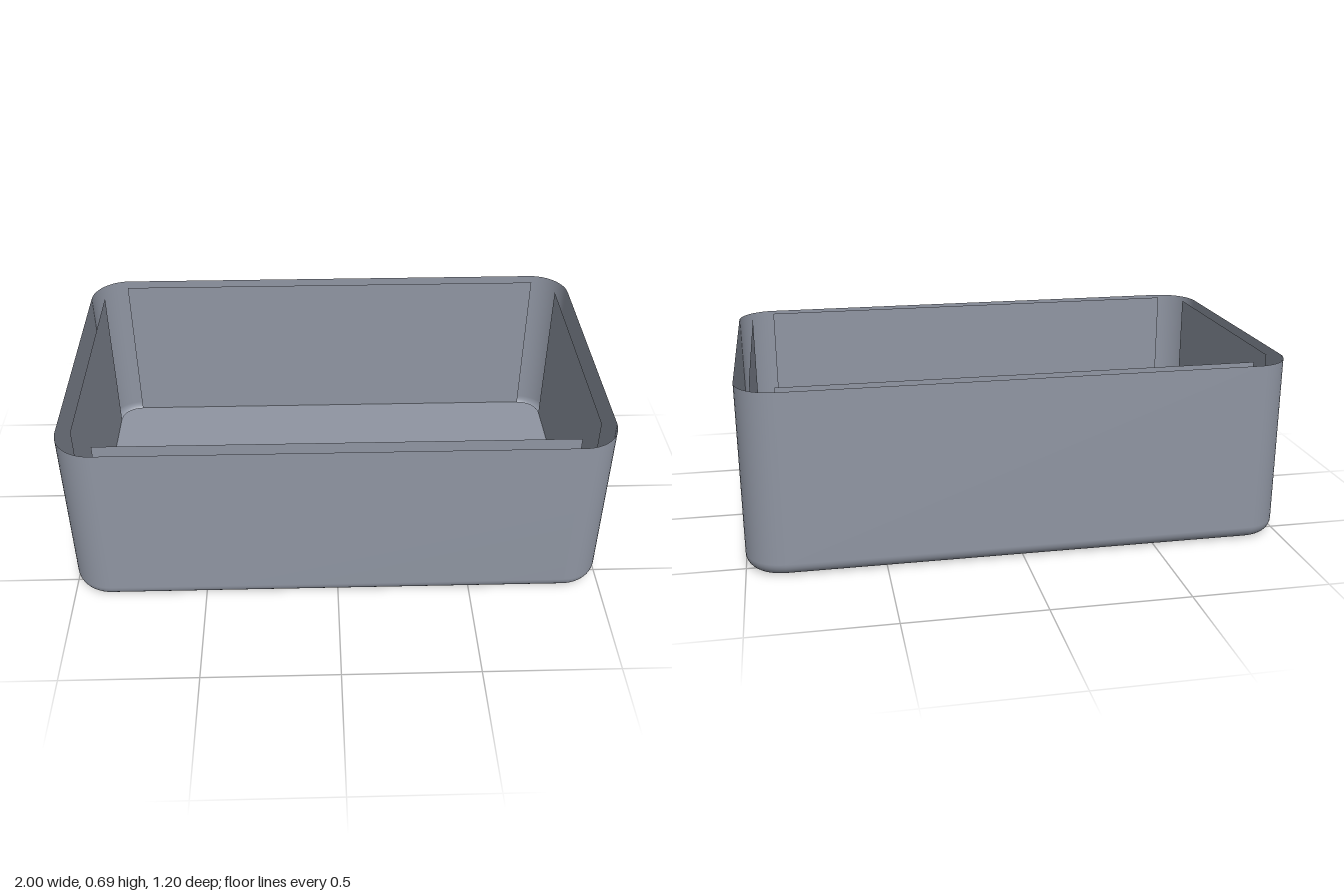
import * as THREE from 'three';

const HALF_X = 1, HALF_Z = 0.6, HEIGHT = 0.685;
const RADIUS = 0.14;   // vertical corner radius
const FILLET = 0.05;   // rounding along the bottom
const GAP = 0.055;     // distance from outer shell to inner liner
const STEPS = 12;      // segments per corner

// Rounded rectangle, moved inwards by inset, at height y
function loop(inset, y) {
  const points = [], r = RADIUS - inset;
  for (let c = 0; c < 4; c++) {
    const sx = c === 0 || c === 3 ? 1 : -1, sz = c < 2 ? 1 : -1;
    for (let i = 0; i <= STEPS; i++) {
      const a = (c + i / STEPS) * Math.PI / 2;
      points.push(sx * (HALF_X - RADIUS) + r * Math.cos(a), y,
        sz * (HALF_Z - RADIUS) + r * Math.sin(a));
    }
  }
  return points;
}

// Stack of loops joined from bottom to top, with an optional flat cap on the first
function skin(loops, capUp) {
  const n = loops[0].length / 3, positions = loops.flat(), index = [];
  for (let i = 0; i < loops.length - 1; i++) {
    for (let j = 0; j < n; j++) {
      const k = (j + 1) % n, a = i * n + j, b = i * n + k;
      index.push(a, a + n, b, b, a + n, b + n);
    }
  }
  const centre = positions.length / 3;
  positions.push(0, loops[0][1], 0);
  for (let j = 0; j < n; j++) {
    const k = (j + 1) % n;
    if (capUp) index.push(centre, k, j);
    else index.push(centre, j, k);
  }
  const geometry = new THREE.BufferGeometry();
  geometry.setAttribute('position', new THREE.Float32BufferAttribute(positions, 3));
  geometry.setIndex(index);
  geometry.computeVertexNormals();
  return geometry;
}

export function createModel() {
  const model = new THREE.Group();
  model.name = 'openBox';
  const grey = new THREE.MeshStandardMaterial({ color: 0x8f95a2, side: THREE.DoubleSide });
  grey.name = 'blueGrey';

  function add(name, geometry) {
    const mesh = new THREE.Mesh(geometry, grey);
    mesh.name = name;
    model.add(mesh);
    return mesh;
  }

  // Outer shell: flat base, rounded lower edge, straight walls, open top
  const loops = [];
  for (let i = 0; i <= 8; i++) {
    const a = i / 8 * Math.PI / 2;
    loops.push(loop(FILLET * (1 - Math.sin(a)), FILLET * (1 - Math.cos(a))));
  }
  loops.push(loop(0, HEIGHT));
  add('outerShell', skin(loops, false));

  // Inner floor
  add('innerFloor', skin([loop(GAP, GAP)], true));

  // Inner wall panels, between the rounded corners
  const h = HEIGHT - GAP, y = GAP + h / 2;
  for (const s of [1, -1]) {
    const long = add(s > 0 ? 'frontLiner' : 'backLiner',
      new THREE.PlaneGeometry(2 * (HALF_X - RADIUS), h));
    long.position.set(0, y, s * (HALF_Z - GAP));
    long.rotation.y = s > 0 ? Math.PI : 0;

    const short = add(s > 0 ? 'leftLiner' : 'rightLiner',
      new THREE.PlaneGeometry(2 * (HALF_Z - RADIUS), h));
    short.position.set(s * (HALF_X - GAP), y, 0);
    short.rotation.y = -s * Math.PI / 2;
  }
  return model;
}
